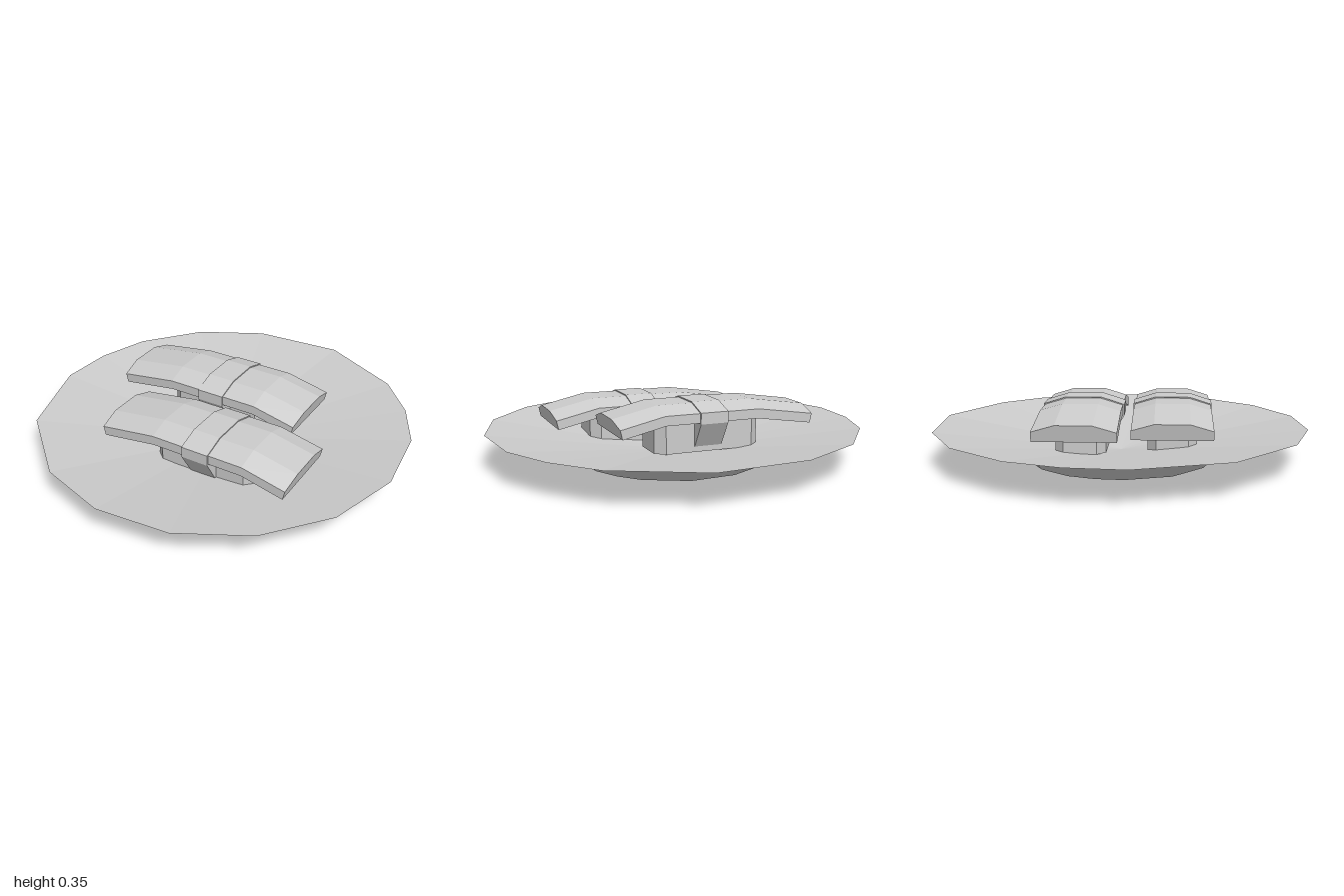
import * as THREE from 'three';

const material = new THREE.MeshStandardMaterial({ color: 0xcccccc, flatShading: true });

// Skin a list of equal-length rings and close both ends with a fan.
// The fan tips default to the centre of each end ring.
function loft(name, rings, startTip, endTip) {
  const n = rings[0].length;
  const centre = ring => [0, 1, 2].map(k => ring.reduce((sum, p) => sum + p[k], 0) / n);
  const first = rings[0], last = rings[rings.length - 1];
  const a = startTip || centre(first), b = endTip || centre(last);
  const out = [];
  for (let j = 0; j < n; j++) {
    const k = (j + 1) % n;
    out.push(a, first[j], first[k], b, last[k], last[j]);
    for (let i = 0; i < rings.length - 1; i++) {
      const lo = rings[i], hi = rings[i + 1];
      out.push(lo[j], hi[k], lo[k], lo[j], hi[j], hi[k]);
    }
  }
  const geometry = new THREE.BufferGeometry();
  geometry.setAttribute('position', new THREE.Float32BufferAttribute(out.flat(), 3));
  geometry.computeVertexNormals();
  const mesh = new THREE.Mesh(geometry, material);
  mesh.name = name;
  return mesh;
}

// Irregular rim outline of the plate, as x, z
const rim = [
  [0.2, -1], [0.64, -0.78], [0.83, -0.56], [0.96, -0.3], [1, 0.09], [0.885, 0.47],
  [0.635, 0.77], [0.29, 0.955], [-0.1, 0.99], [-0.47, 0.88], [-0.84, 0.56], [-1, 0.09],
  [-0.98, -0.2], [-0.885, -0.48], [-0.64, -0.78], [-0.29, -0.965],
];

function makePlate() {
  const ring = (scale, y) => rim.map(([x, z]) => [x * scale, y, z * scale]);
  return loft('plate', [ring(0.5, 0), ring(0.59, 0.09), ring(1, 0.18)], [0, 0, 0], [0, 0.04, 0]);
}

// One piece; its origin is the middle of the topping's upper face
function makePiece(name, x, y, z) {
  const piece = new THREE.Group();
  piece.name = name;
  piece.position.set(x, y, z);

  // Arched topping: position along x, top height and tilt of each section
  const section = [[0.205, -0.085], [0.205, -0.035], [0.09, 0], [-0.09, 0], [-0.205, -0.035], [-0.205, -0.085]];
  const stations = [[-0.54, -0.048, 0.22], [-0.22, 0, 0.08], [0.3, 0, -0.08], [0.54, -0.053, -0.22]];
  piece.add(loft('topping', stations.map(([sx, sy, tilt]) =>
    section.map(([pz, h]) => [sx - h * Math.sin(tilt), sy + h * Math.cos(tilt), pz]))));

  // Rice block with chamfered corners
  const plan = [[-0.24, -0.13], [0.24, -0.13], [0.29, -0.085], [0.29, 0.085],
    [0.24, 0.13], [-0.24, 0.13], [-0.29, 0.085], [-0.29, -0.085]];
  piece.add(loft('rice', [-0.25, -0.08].map(h => plan.map(([px, pz]) => [px + 0.025, h, pz]))));

  // Band wrapped around topping and rice
  const wrap = [[0.135, -0.22], [0.213, -0.09], [0.213, -0.032], [0.093, 0.006],
    [-0.093, 0.006], [-0.213, -0.032], [-0.213, -0.09], [-0.135, -0.22]];
  piece.add(loft('band', [-0.04, 0.11].map(bx => wrap.map(([pz, h]) => [bx, h, pz]))));
  return piece;
}

export function createModel() {
  const model = new THREE.Group();
  model.name = 'plateWithRicePieces';
  model.add(makePlate());
  model.add(makePiece('backPiece', -0.105, 0.345, -0.188));
  model.add(makePiece('frontPiece', 0.092, 0.316, 0.277));
  return model;
}
